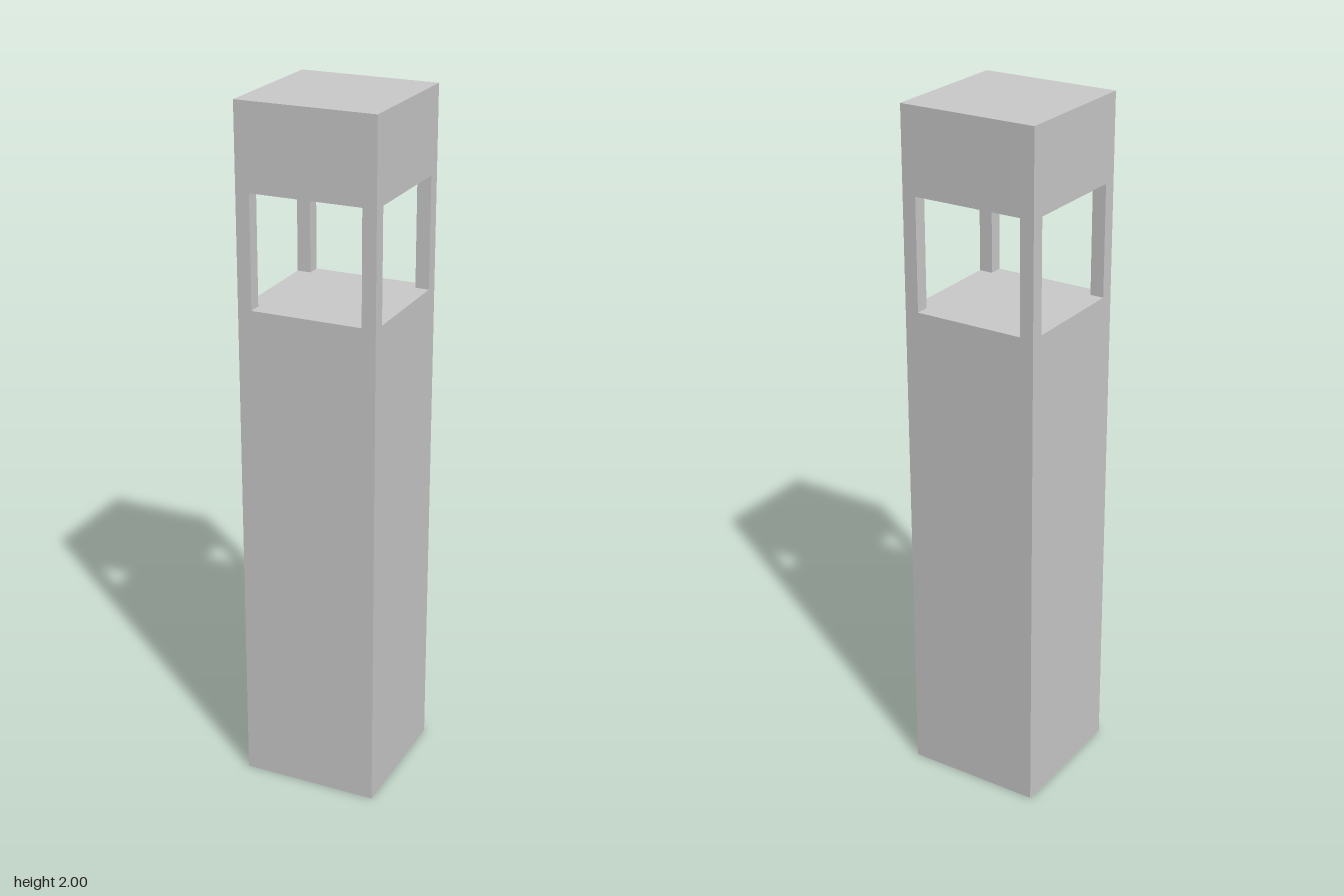
import * as THREE from 'three';

const WIDTH = 0.4;      // square footprint
const POST = 0.04;      // corner post thickness
const SILL = 1.44;      // bottom of the openings
const LINTEL = 1.76;    // top of the openings
const HEIGHT = 2;

export function createModel() {
  const model = new THREE.Group();
  model.name = 'bollardLight';
  const material = new THREE.MeshStandardMaterial({ color: 0xcccccc, flatShading: true });

  // Square block spanning two heights
  const addBlock = (name, size, bottom, top, x = 0, z = 0) => {
    const mesh = new THREE.Mesh(new THREE.BoxGeometry(size, top - bottom, size), material);
    mesh.name = name;
    mesh.position.set(x, (bottom + top) / 2, z);
    model.add(mesh);
  };

  // Solid column and cap
  addBlock('column', WIDTH, 0, SILL);
  addBlock('cap', WIDTH, LINTEL, HEIGHT);

  // Four corner posts framing the open lantern chamber
  const offset = (WIDTH - POST) / 2;
  for (const [sx, xName] of [[1, 'Left'], [-1, 'Right']]) {
    for (const [sz, zName] of [[1, 'front'], [-1, 'back']]) {
      addBlock(`${zName}${xName}Post`, POST, SILL, LINTEL, sx * offset, sz * offset);
    }
  }

  return model;
}
